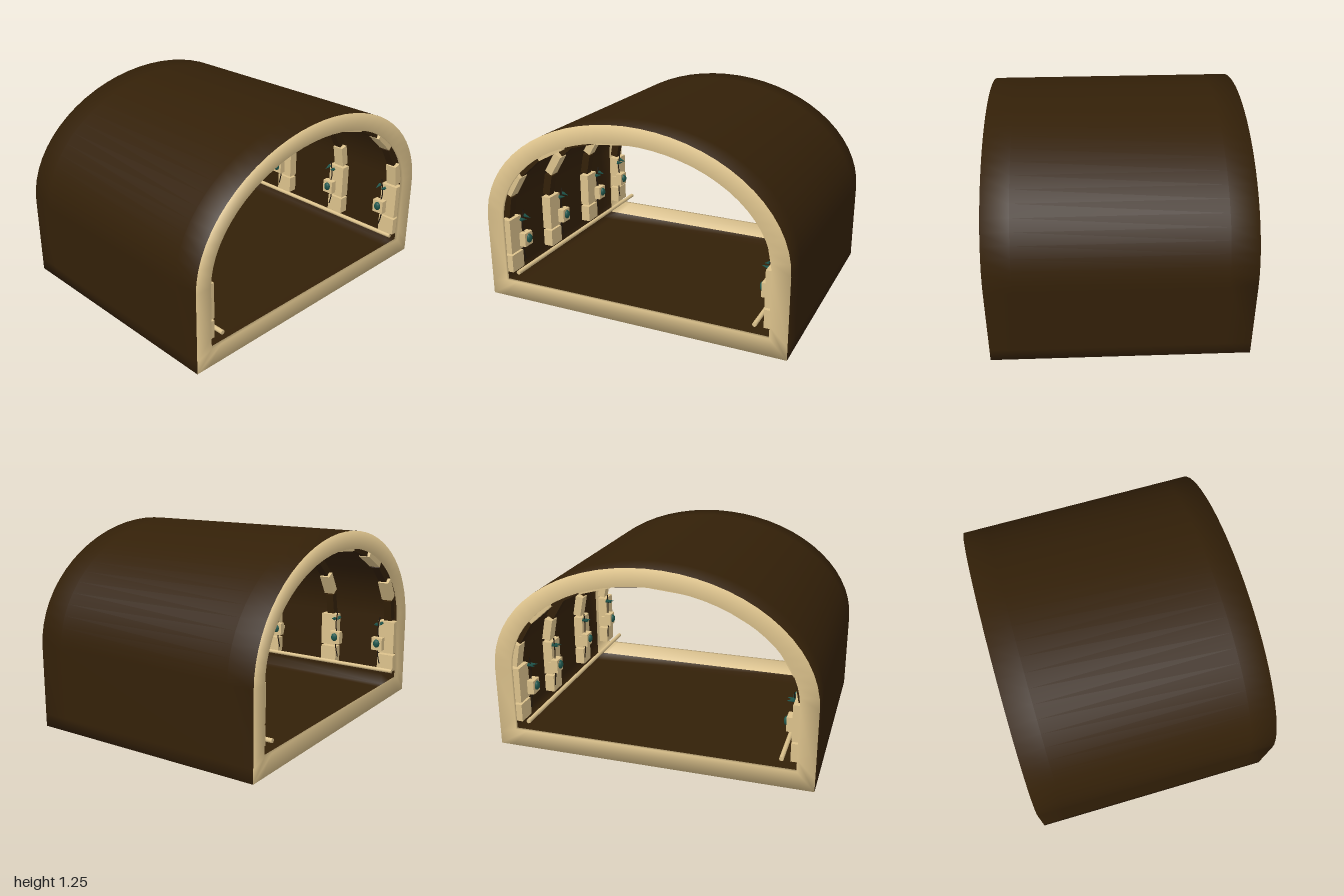
import * as THREE from 'three';

const material = (name, color) => {
  const m = new THREE.MeshStandardMaterial({ color });
  m.name = name;
  return m;
};

export function createModel() {
  const brown = material('dark brown', 0x332008);
  const cream = material('cream', 0xdcc28c);
  const teal = material('teal', 0x1f574d);
  const soot = material('dark cable', 0x21180e);

  const model = new THREE.Group();
  model.name = 'tunnelSection';
  const SPRING = 0.52;

  function add(parent, name, geometry, mat, x = 0, y = 0, z = 0) {
    const mesh = new THREE.Mesh(geometry, mat);
    mesh.name = name;
    mesh.position.set(x, y, z);
    parent.add(mesh);
    return mesh;
  }
  const box = (w, h, d) => new THREE.BoxGeometry(w, h, d);

  // Arched outline, with extra points beside the bottom corners to keep their shading tight
  function profile(a, b, floor) {
    const pts = [[a - 0.08, floor], [a, floor], [a, floor + 0.08]];
    for (let i = 0; i <= 32; i++) {
      const t = (i / 32) * Math.PI;
      pts.push([a * Math.cos(t), SPRING + b * Math.sin(t)]);
    }
    pts.push([-a, floor + 0.08], [-a, floor], [0.08 - a, floor]);
    return pts;
  }

  // Vault shell: one closed skin, outside then back along the inside, with raised end rims
  const outer = profile(1, 0.725, 0);
  const rim = profile(0.89, 0.615, 0.115);
  const inner = profile(0.988, 0.713, 0.012);
  const END = 0.785, STEP = 0.62, BACK = 0.765;
  const sections = [
    [outer, END], [outer, STEP], [outer, -STEP], [outer, -END],
    [rim, -END], [rim, -BACK], [inner, -BACK], [inner, -STEP],
    [inner, STEP], [inner, BACK], [rim, BACK], [rim, END],
  ];
  const n = outer.length;
  const positions = [], index = [];
  const shell = new THREE.BufferGeometry();
  for (const [pts, z] of sections) for (const [x, y] of pts) positions.push(x, y, z);
  sections.forEach(([pts], j) => {
    const k = (j + 1) % sections.length;
    // Every strip touching a rim outline is cream
    shell.addGroup(index.length, n * 6, pts === rim || sections[k][0] === rim ? 1 : 0);
    for (let i = 0; i < n; i++) {
      const h = (i + 1) % n;
      const a = j * n + i, b = j * n + h, c = k * n + i, d = k * n + h;
      index.push(a, c, b, b, c, d);
    }
  });
  shell.setAttribute('position', new THREE.Float32BufferAttribute(positions, 3));
  shell.setIndex(index);
  shell.computeVertexNormals();
  add(model, 'vaultShell', shell, [brown, cream]);

  // Lamp with a rounded lens, a cable running past it and small leaf plates
  function wallLamp(side, z) {
    const lamp = new THREE.Group();
    lamp.name = 'wallLamp';
    add(lamp, 'lampBox', box(0.045, 0.09, 0.08), cream, side * 0.828, 0.36, z);
    add(lamp, 'lampBracket', box(0.05, 0.035, 0.05), cream, side * 0.865, 0.36, z);
    const lens = add(lamp, 'lampLens', new THREE.SphereGeometry(0.03, 10, 8), teal, side * 0.803, 0.365, z);
    lens.scale.set(0.65, 1, 0.8);

    const cable = new THREE.CatmullRomCurve3([
      [0.847, 0.21, -0.008], [0.846, 0.29, 0.008], [0.84, 0.36, -0.006],
      [0.842, 0.45, 0.008], [0.838, 0.555, -0.006],
    ].map(([x, y, dz]) => new THREE.Vector3(side * x, y, z + dz)));
    add(lamp, 'cable', new THREE.TubeGeometry(cable, 16, 0.004, 5), soot);

    for (const [y, dz, tilt] of [[0.505, -0.02, 0.25], [0.5, 0.02, -0.2]]) {
      const leaf = add(lamp, 'leaf', new THREE.ConeGeometry(0.014, 0.05, 4), teal, side * 0.82, y, z + dz);
      leaf.rotation.z = side * (Math.PI / 2 + tilt);
    }
    model.add(lamp);
  }

  // Ribs: wall blocks and twelve alternating panels over the arch
  const lampOffset = { '-1': [-0.07, -0.07, -0.07, 0.05], 1: [-0.05, -0.04, -0.04, 0.07] };
  const archPoint = (i) => {
    const t = (i / 12) * Math.PI;
    return new THREE.Vector2(0.88 * Math.cos(t), SPRING + 0.605 * Math.sin(t));
  };
  [0.705, 0.25, -0.25, -0.705].forEach((z, r) => {
    const rib = new THREE.Group();
    rib.name = 'rib';
    for (let i = 0; i < 12; i++) {
      const p = archPoint(i), q = archPoint(i + 1);
      const chord = q.clone().sub(p);
      const light = i % 2 === 0;
      const panel = add(rib, light ? 'lightPanel' : 'darkPanel',
        box(chord.length() * 0.92, 0.055, light ? 0.075 : 0.055), light ? cream : brown);
      const mid = p.add(q).multiplyScalar(0.5);
      const out = new THREE.Vector2(chord.y, -chord.x).normalize().multiplyScalar(0.022);
      panel.position.set(mid.x + out.x, mid.y + out.y, z);
      panel.rotation.z = Math.atan2(chord.y, chord.x);
    }
    for (const side of [-1, 1]) {
      add(rib, 'lowerBlock', box(0.065, 0.115, 0.12), cream, side * 0.882, 0.222, z);
      add(rib, 'upperBlock', box(0.065, 0.23, 0.12), cream, side * 0.882, 0.408, z);
      wallLamp(side, z + lampOffset[side][r]);
    }
    model.add(rib);
  });

  // Low rails running the full length
  for (const side of [-1, 1]) {
    const rail = add(model, 'rail', new THREE.CylinderGeometry(0.014, 0.014, 1.56, 8), cream, side * 0.8, 0.18, 0);
    rail.rotation.x = Math.PI / 2;
  }

  return model;
}
